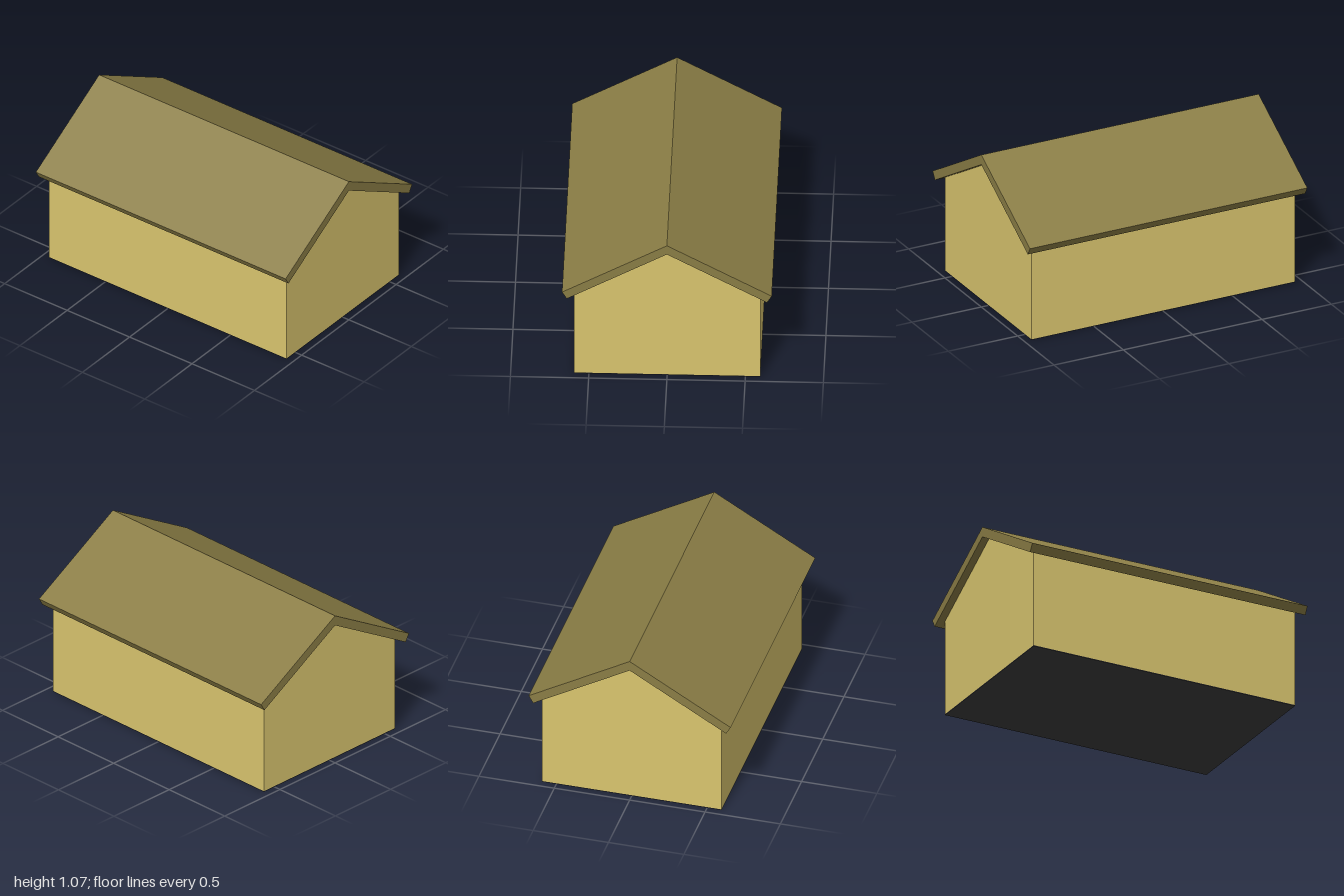
import * as THREE from 'three';

const T = 0.06;            // wall and roof thickness
const HALF_W = 0.595;      // house half width
const HALF_D = 0.95;       // house half depth
const RIDGE = 1.07;        // top of the ridge
const PITCH = Math.PI / 6; // roof slope
const FLOOR = 0.005;

const slope = Math.tan(PITCH);
const innerRidge = RIDGE - T / Math.cos(PITCH);
const underRoof = (x) => innerRidge - Math.abs(x) * slope;

const material = (color) => new THREE.MeshStandardMaterial({ color, flatShading: true });

// Extrudes an outline in the xy plane from z0 to z1
function prism(name, points, z0, z1, mat) {
  const shape = new THREE.Shape(points.map(([x, y]) => new THREE.Vector2(x, y)));
  const geometry = new THREE.ExtrudeGeometry(shape, { depth: z1 - z0, bevelEnabled: false });
  geometry.translate(0, 0, z0);
  const mesh = new THREE.Mesh(geometry, mat);
  mesh.name = name;
  return mesh;
}

export function createModel() {
  const house = new THREE.Group();
  house.name = 'house';
  const wallMat = material(0xd9c56e);
  const roofMat = material(0x8a7d45);
  const floorMat = material(0x3c3c3c);

  // Gable walls at the front and back
  const gable = [
    [-HALF_W, FLOOR], [HALF_W, FLOOR], [HALF_W, underRoof(HALF_W)],
    [0, innerRidge], [-HALF_W, underRoof(HALF_W)],
  ];
  house.add(prism('frontGableWall', gable, HALF_D - T, HALF_D, wallMat));
  house.add(prism('backGableWall', gable, -HALF_D, -HALF_D + T, wallMat));

  // Side walls, tops cut to the roof slope
  for (const [name, s] of [['leftWall', 1], ['rightWall', -1]]) {
    const inner = HALF_W - T;
    const outline = [
      [s * inner, FLOOR], [s * HALF_W, FLOOR],
      [s * HALF_W, underRoof(HALF_W)], [s * inner, underRoof(inner)],
    ];
    house.add(prism(name, outline, -HALF_D + T, HALF_D - T, wallMat));
  }

  // Floor slab
  const floor = new THREE.Mesh(new THREE.BoxGeometry(HALF_W * 2, FLOOR, HALF_D * 2), floorMat);
  floor.name = 'floor';
  floor.position.y = FLOOR / 2;
  house.add(floor);

  // Pitched roof with square-cut eaves
  const eaveX = 0.67;
  const eaveY = RIDGE - eaveX * slope;
  const lowX = eaveX - T * Math.sin(PITCH);
  const lowY = eaveY - T * Math.cos(PITCH);
  house.add(prism('roof', [
    [0, RIDGE], [-eaveX, eaveY], [-lowX, lowY],
    [0, innerRidge], [lowX, lowY], [eaveX, eaveY],
  ], -1, 1, roofMat));

  return house;
}
